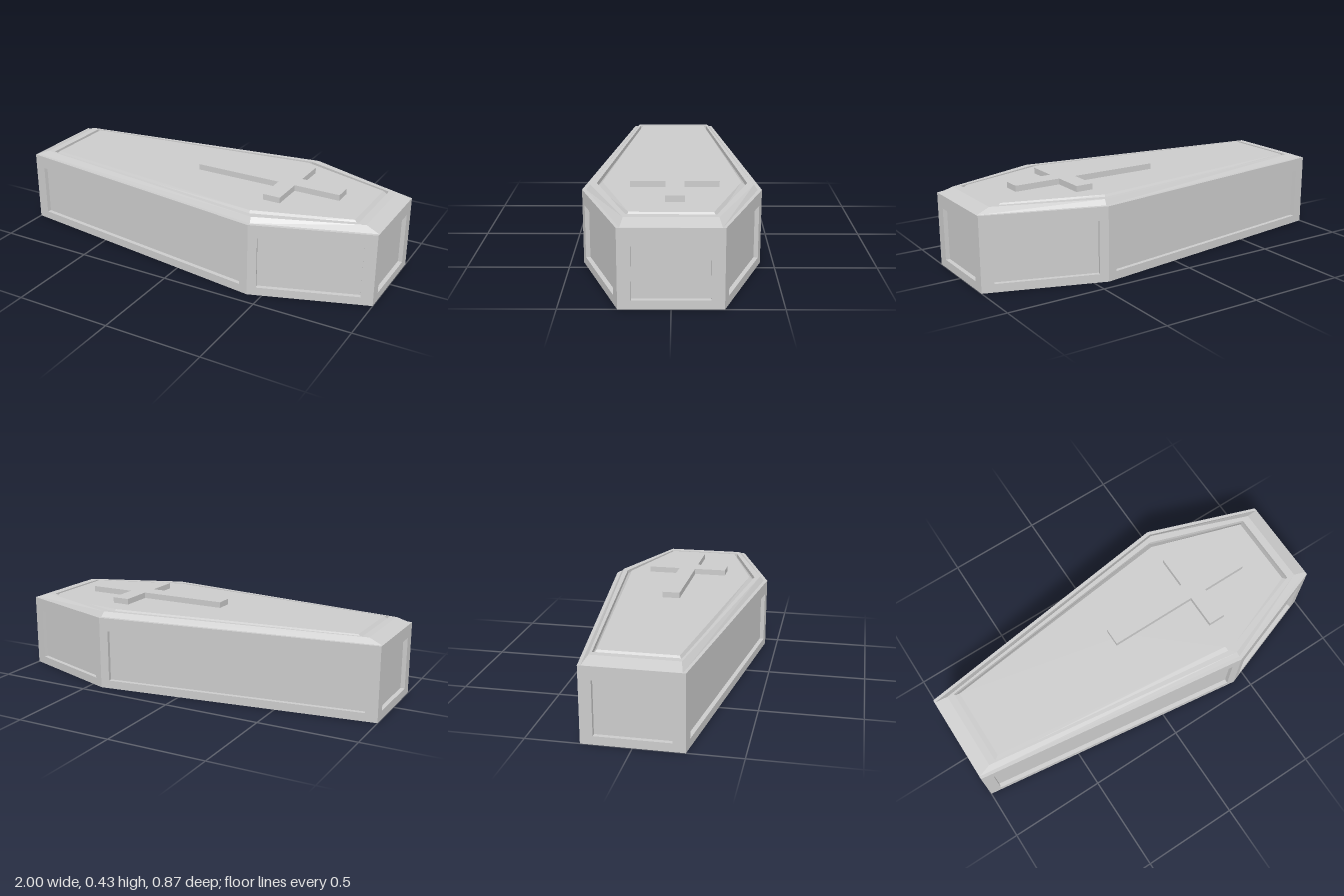
import * as THREE from 'three';

const material = new THREE.MeshStandardMaterial({ color: 0xcccccc, flatShading: true });

// Six-cornered outline, mirrored across z: foot, shoulder, head, then back again
function ring(y, footX, footZ, shoulderX, shoulderZ, headX, headZ) {
  const half = [[footX, footZ], [shoulderX, shoulderZ], [headX, headZ]];
  const back = half.map(([x, z]) => [x, -z]).reverse();
  return [...half, ...back].map(([x, z]) => new THREE.Vector3(x, y, z));
}
const outline = (y) => ring(y, -1, 0.24, 0.43, 0.435, 1, 0.235);
const inset = (y) => ring(y, -0.978, 0.221, 0.427, 0.4125, 0.978, 0.219);

// Skin a stack of rings and close both ends
function loft(name, rings) {
  const positions = [];
  const tri = (...points) => points.forEach((p) => positions.push(p.x, p.y, p.z));
  const bottom = rings[0], top = rings[rings.length - 1];
  const bottomCentre = new THREE.Vector3(0, bottom[0].y, 0);
  const topCentre = new THREE.Vector3(0, top[0].y, 0);
  for (let i = 0; i < 6; i++) {
    const j = (i + 1) % 6;
    for (let k = 0; k < rings.length - 1; k++) {
      const a = rings[k], b = rings[k + 1];
      tri(a[i], a[j], b[j]);
      tri(a[i], b[j], b[i]);
    }
    tri(bottom[j], bottom[i], bottomCentre);
    tri(top[i], top[j], topCentre);
  }
  const geometry = new THREE.BufferGeometry();
  geometry.setAttribute('position', new THREE.Float32BufferAttribute(positions, 3));
  geometry.computeVertexNormals();
  const mesh = new THREE.Mesh(geometry, material);
  mesh.name = name;
  return mesh;
}

function rectangle(Type, x0, y0, x1, y1) {
  const path = new Type();
  path.moveTo(x0, y0).lineTo(x1, y0).lineTo(x1, y1).lineTo(x0, y1).closePath();
  return path;
}

// Wall frame with a panel opening, standing along one edge of the outline
function wallFrame(a, b, marginA, marginB) {
  const depth = 0.022;
  const length = a.distanceTo(b);
  const shape = rectangle(THREE.Shape, 0, 0.03, length, 0.33);
  shape.holes.push(rectangle(THREE.Path, marginA, 0.042, length - marginB, 0.308));
  const geometry = new THREE.ExtrudeGeometry(shape, { depth, bevelEnabled: false });
  geometry.translate(0, 0, -depth);
  const mesh = new THREE.Mesh(geometry, material);
  mesh.position.copy(a);
  mesh.rotation.y = Math.atan2(a.z - b.z, b.x - a.x);
  mesh.name = 'wallFrame';
  return mesh;
}

export function createModel() {
  const model = new THREE.Group();
  model.name = 'coffin';

  // Body: base, recessed core and upper rim
  model.add(loft('base', [outline(0), outline(0.03)]));
  model.add(loft('recessedPanels', [inset(0.02), inset(0.34)]));
  model.add(loft('rim', [outline(0.33), outline(0.375)]));

  // Six framed walls, with narrower posts at the shoulders
  const corners = outline(0);
  const margins = [0.06, 0.045, 0.06, 0.06, 0.045, 0.06];
  const walls = new THREE.Group();
  walls.name = 'walls';
  corners.forEach((corner, i) => {
    const j = (i + 1) % 6;
    walls.add(wallFrame(corner, corners[j], margins[i], margins[j]));
  });
  model.add(walls);

  // Lid: bevelled edge, groove, then a raised centre panel
  model.add(loft('lid', [
    ring(0.375, -0.998, 0.225, 0.43, 0.415, 0.998, 0.22),
    ring(0.4, -0.93, 0.208, 0.425, 0.395, 0.93, 0.208),
    ring(0.4, -0.895, 0.202, 0.4, 0.365, 0.89, 0.2),
    ring(0.379, -0.895, 0.202, 0.4, 0.365, 0.89, 0.2),
    ring(0.403, -0.87, 0.188, 0.39, 0.338, 0.865, 0.188),
  ]));

  // Cross on the lid, one solid outline
  const cross = new THREE.Shape([
    [-0.07, -0.03], [0.39, -0.03], [0.39, -0.2], [0.48, -0.2], [0.48, -0.03], [0.72, -0.03],
    [0.72, 0.06], [0.48, 0.06], [0.48, 0.228], [0.39, 0.228], [0.39, 0.06], [-0.07, 0.06],
  ].map(([x, y]) => new THREE.Vector2(x, y)));
  const crossMesh = new THREE.Mesh(
    new THREE.ExtrudeGeometry(cross, { depth: 0.032, bevelEnabled: false }).rotateX(-Math.PI / 2),
    material,
  );
  crossMesh.position.y = 0.401;
  crossMesh.name = 'cross';
  model.add(crossMesh);

  return model;
}
